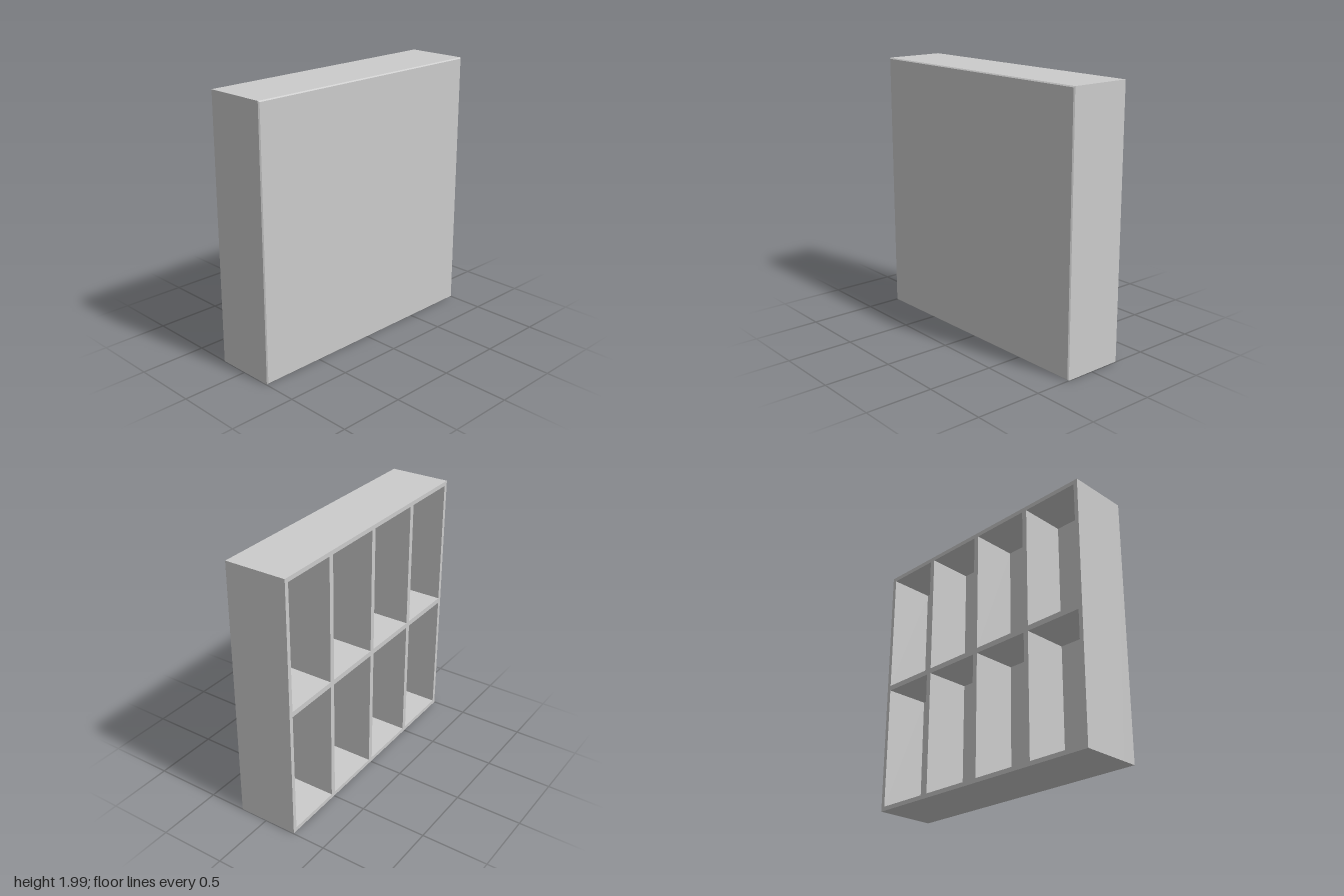
import * as THREE from 'three';

const W = 1.995, H = 1.985, D = 0.47; // overall size
const PANEL = 0.12;                   // thickness of the closed front
const WALL = 0.032, DIVIDER = 0.04;   // outer walls and inner dividers
const BEVEL = 0.008;

// Openings between the outer walls, split by dividers at the given centres
function spans(size, centres) {
  const edges = [-size / 2 + WALL];
  for (const c of centres) edges.push(c - DIVIDER / 2, c + DIVIDER / 2);
  edges.push(size / 2 - WALL);
  const out = [];
  for (let i = 0; i < edges.length; i += 2) out.push([edges[i], edges[i + 1]]);
  return out;
}

function rect(target, x0, y0, x1, y1) {
  target.moveTo(x0, y0);
  target.lineTo(x1, y0);
  target.lineTo(x1, y1);
  target.lineTo(x0, y1);
  target.closePath();
  return target;
}

export function createModel() {
  const group = new THREE.Group();
  group.name = 'compartmentCabinet';
  const material = new THREE.MeshStandardMaterial({ color: 0xcccccc });

  const body = new THREE.Group();
  body.name = 'cabinetBody';
  body.position.y = H / 2;
  body.rotation.y = 0.0095; // stands turned very slightly
  group.add(body);

  // Grid of outer walls, dividers and shelf, open at the back
  const outline = rect(new THREE.Shape(), -W / 2, -H / 2, W / 2, H / 2);
  for (const [x0, x1] of spans(W, [-0.492, 0.01, 0.512])) {
    for (const [y0, y1] of spans(H, [-0.003])) {
      outline.holes.push(rect(new THREE.Path(), x0, y0, x1, y1));
    }
  }
  const gridGeometry = new THREE.ExtrudeGeometry(outline, { depth: D - PANEL, bevelEnabled: false });
  const grid = new THREE.Mesh(gridGeometry, material);
  grid.name = 'wallsAndShelves';
  grid.position.z = -D / 2;
  body.add(grid);

  // Closed front with a narrow chamfer around its front edge
  const box = new THREE.BoxGeometry(W, H, PANEL, 1, 1, 2);
  const p = box.attributes.position;
  for (let i = 0; i < p.count; i++) {
    const z = p.getZ(i);
    if (z > 0.01) {
      p.setX(i, p.getX(i) - Math.sign(p.getX(i)) * BEVEL);
      p.setY(i, p.getY(i) - Math.sign(p.getY(i)) * BEVEL);
    } else if (z > -0.01) {
      p.setZ(i, PANEL / 2 - BEVEL);
    }
  }
  const panelGeometry = box.toNonIndexed();
  panelGeometry.computeVertexNormals();
  const panel = new THREE.Mesh(panelGeometry, material);
  panel.name = 'frontPanel';
  panel.position.z = D / 2 - PANEL / 2;
  body.add(panel);

  return group;
}
